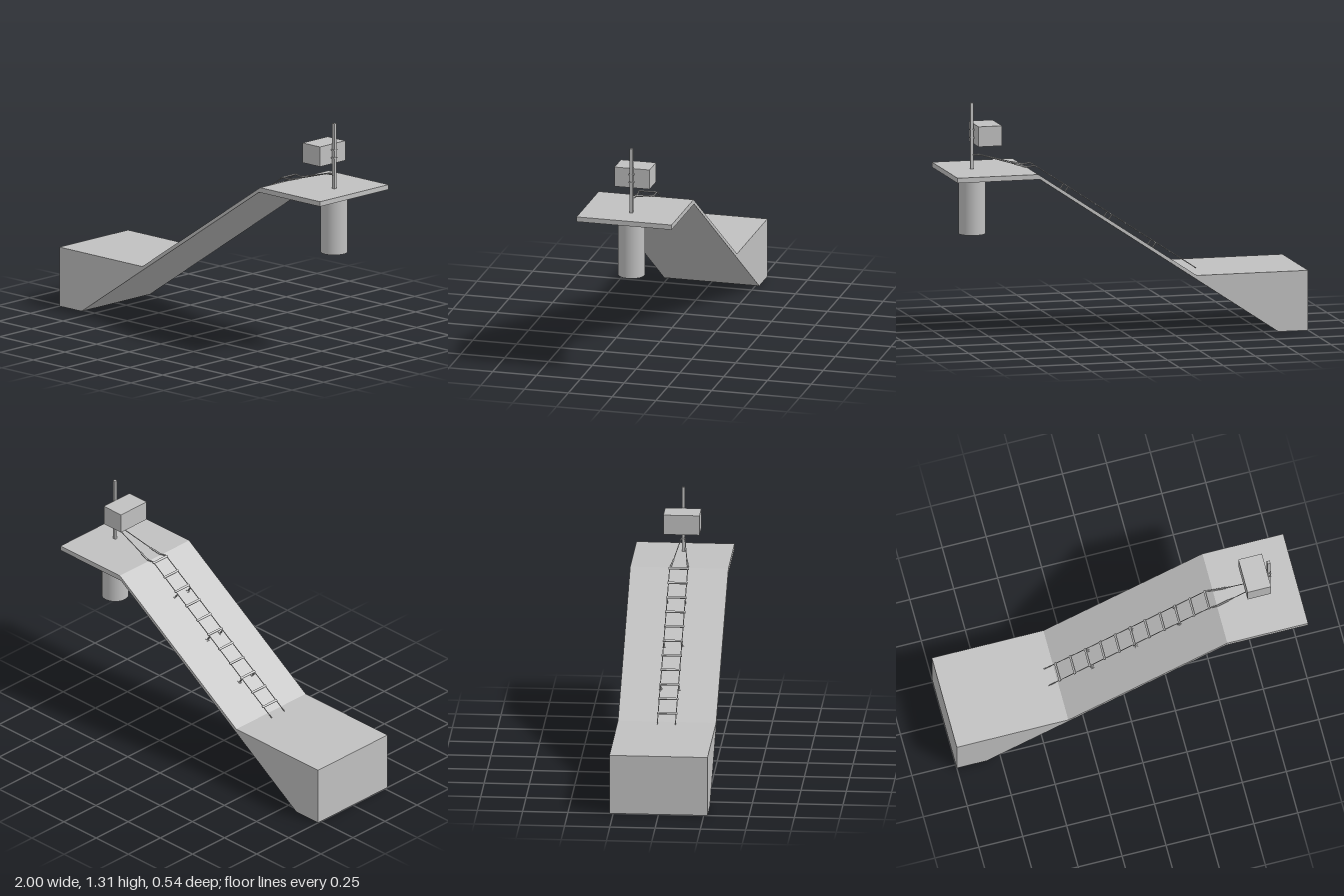
import * as THREE from 'three';

export function createModel() {
  const model = new THREE.Group();
  const grey = new THREE.MeshStandardMaterial({ color: 0xc0c0c0 });
  grey.name = 'concrete grey';

  const add = (name, geometry, x = 0, y = 0, z = 0, parent = model) => {
    const mesh = new THREE.Mesh(geometry, grey);
    mesh.name = name;
    mesh.position.set(x, y, z);
    parent.add(mesh);
    return mesh;
  };
  const box = (name, w, h, d, x, y, z, parent) =>
    add(name, new THREE.BoxGeometry(w, h, d), x, y, z, parent);
  // Straight round bar between two points
  const bar = (name, a, b, r, parent) => {
    const from = new THREE.Vector3(...a), dir = new THREE.Vector3(...b).sub(from);
    const mesh = add(name, new THREE.CylinderGeometry(r, r, dir.length(), 8), 0, 0, 0, parent);
    mesh.position.copy(from).addScaledVector(dir, 0.5);
    mesh.quaternion.setFromUnitVectors(new THREE.Vector3(0, 1, 0), dir.normalize());
    return mesh;
  };

  // Lower block, sloping ramp and upper deck in one side profile
  const profile = new THREE.Shape([
    [-1, 0], [-0.83, 0], [0.53, 0.912], [1, 0.912], [1, 0.94],
    [0.54, 0.94], [-0.365, 0.335], [-1, 0.335],
  ].map(([x, y]) => new THREE.Vector2(x, y)));
  add('rampAndDeck', new THREE.ExtrudeGeometry(profile, { depth: 0.542, bevelEnabled: false }), 0, 0, -0.271);

  // Pile under the deck
  add('supportPile', new THREE.CylinderGeometry(0.074, 0.074, 0.335, 48), 0.845, 0.7475, 0);

  // Post with its box and clamps
  box('post', 0.017, 0.37, 0.017, 0.846, 1.125, 0);
  box('equipmentBox', 0.134, 0.112, 0.2, 0.767, 1.135, 0);
  for (const y of [1.115, 1.16]) {
    box('postClamp', 0.027, 0.006, 0.028, 0.844, y, 0);
  }

  // Ladder lying along the ramp
  const ladder = new THREE.Group();
  ladder.name = 'ladder';
  model.add(ladder);
  const slope = 0.668, tilt = Math.atan(slope);
  const railY = (x) => 0.338 + (x + 0.42) * slope;
  for (let i = 0; i < 11; i++) {
    const x = -0.355 + i * 0.085;
    const rung = box('rung', 0.012, 0.006, 0.112, x, railY(x), 0, ladder);
    rung.rotation.z = tilt;
  }

  for (const side of [-1, 1]) {
    const z = side * 0.05;
    bar('ladderRope', [-0.42, railY(-0.42), z], [0.5, railY(0.5), z], 0.0025, ladder);

    // Stand-offs holding the ladder clear of the ramp
    for (const x of [-0.19, 0.06, 0.31]) {
      bar('standOff', [x, railY(x), z], [x + 0.02, railY(x) - 0.03, z], 0.004, ladder);
      const foot = box('standOffFoot', 0.018, 0.005, 0.018, x + 0.019, railY(x) - 0.027, z, ladder);
      foot.rotation.z = tilt;
    }

    // Anchor cable with its tensioner running to the post
    bar('topLink', [0.5, 0.952, z], [0.545, 0.946, side * 0.047], 0.004, ladder);
    bar('tensioner', [0.545, 0.946, side * 0.047], [0.61, 0.963, side * 0.037], 0.005, ladder);
    bar('anchorCable', [0.61, 0.963, side * 0.037], [0.8, 1.018, side * 0.012], 0.0025, ladder);
    bar('anchorEnd', [0.8, 1.018, side * 0.012], [0.846, 1.018, side * 0.006], 0.0035, ladder);
  }
  return model;
}
